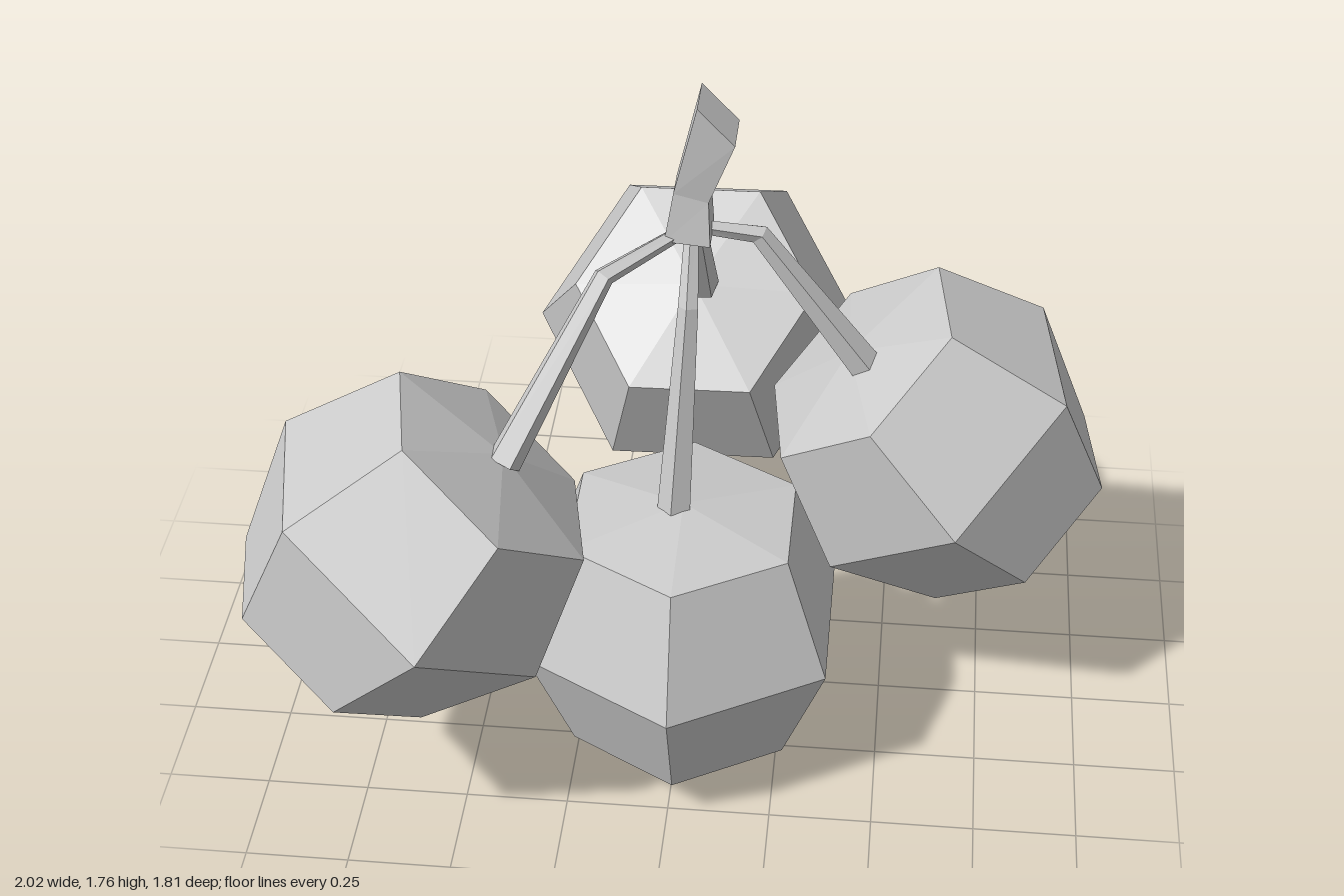
import * as THREE from 'three';

const material = new THREE.MeshStandardMaterial({ color: 0xcccccc, flatShading: true });
const V = (x, y, z) => new THREE.Vector3(x, y, z);

// Skin a list of equal-sized rings (counter-clockwise seen from the end) and cap both ends
function loft(rings) {
  const n = rings[0].length;
  const index = [];
  for (let i = 0; i < rings.length - 1; i++) {
    for (let j = 0; j < n; j++) {
      const a = i * n + j, b = i * n + (j + 1) % n;
      index.push(a, b, b + n, a, b + n, a + n);
    }
  }
  const last = (rings.length - 1) * n;
  for (let j = 1; j < n - 1; j++) {
    index.push(0, j + 1, j, last, last + j, last + j + 1);
  }
  const geometry = new THREE.BufferGeometry().setFromPoints(rings.flat());
  geometry.setIndex(index);
  geometry.computeVertexNormals();
  return geometry;
}

// Five-sided stalk that bends and thickens along its path
function stalkGeometry(path, radii) {
  const sides = 5;
  const ends = path[path.length - 1].clone().sub(path[0]);
  const across = V(ends.z, 0, -ends.x).normalize();
  const rings = path.map((p, i) => {
    const before = path[Math.max(i - 1, 0)], after = path[Math.min(i + 1, path.length - 1)];
    const along = after.clone().sub(before).normalize();
    const u = across.clone().addScaledVector(along, -across.dot(along)).normalize();
    const v = along.clone().cross(u);
    return Array.from({ length: sides }, (_, j) => {
      const a = (j / sides) * Math.PI * 2 + Math.PI / 2;
      return p.clone()
        .addScaledVector(u, Math.cos(a) * radii[i])
        .addScaledVector(v, Math.sin(a) * radii[i]);
    });
  });
  return loft(rings);
}

export function createModel() {
  const model = new THREE.Group();
  const add = (name, geometry) => {
    const mesh = new THREE.Mesh(geometry, material);
    mesh.name = name;
    model.add(mesh);
    return mesh;
  };

  // Six-sided fruit body, centred on its widest ring
  const profile = [[0, -0.417], [0.297, -0.295], [0.415, 0], [0.3, 0.3], [0, 0.342]];
  const fruitGeometry = new THREE.LatheGeometry(
    profile.map(([r, y]) => new THREE.Vector2(r, y)), 6);

  // Each fruit: centre, heading, outward tilt, and the path of its stalk
  const fruits = [
    { name: 'front', at: [0.015, 0.422, 0.248], yaw: 0, tilt: 0,
      path: [V(0.02, 1.43, 0.08), V(0.02, 1.27, 0.165), V(-0.005, 0.75, 0.25)] },
    { name: 'left', at: [0.61, 0.772, -0.065], yaw: 0.12, tilt: 0.72,
      path: [V(0.03, 1.43, 0.07), V(0.17, 1.395, 0.035), V(0.43, 1.025, 0.015)] },
    { name: 'right', at: [-0.597, 0.772, 0.49], yaw: Math.PI + 0.2, tilt: 0.72,
      path: [V(0.01, 1.43, 0.08), V(-0.165, 1.39, 0.24), V(-0.375, 1.015, 0.46)] },
    { name: 'back', at: [-0.015, 0.772, -0.52], yaw: Math.PI / 2 + 0.02, tilt: 0.72,
      path: [V(0.02, 1.43, 0.06), V(0, 1.39, -0.09), V(0.01, 1.03, -0.29)] },
  ];
  for (const { name, at, yaw, tilt, path } of fruits) {
    const fruit = add(name + 'Fruit', fruitGeometry);
    fruit.position.set(...at);
    fruit.rotation.set(0, yaw, tilt, 'YXZ');
    add(name + 'Stalk', stalkGeometry(path, [0.017, 0.025, 0.042]));
  }

  // Main stem: square sections, pinched in the middle and cut at a slant on top
  // [left x, left y, right x, right y, half depth]
  const sections = [
    [-0.04, 1.42, 0.065, 1.41, 0.055],
    [-0.02, 1.54, 0.06, 1.52, 0.042],
    [0.035, 1.77, 0.12, 1.68, 0.06],
  ];
  const z = 0.075;
  add('mainStem', loft(sections.map(([x0, y0, x1, y1, d]) => [
    V(x0, y0, z + d), V(x1, y1, z + d), V(x1, y1, z - d), V(x0, y0, z - d),
  ])));

  return model;
}
